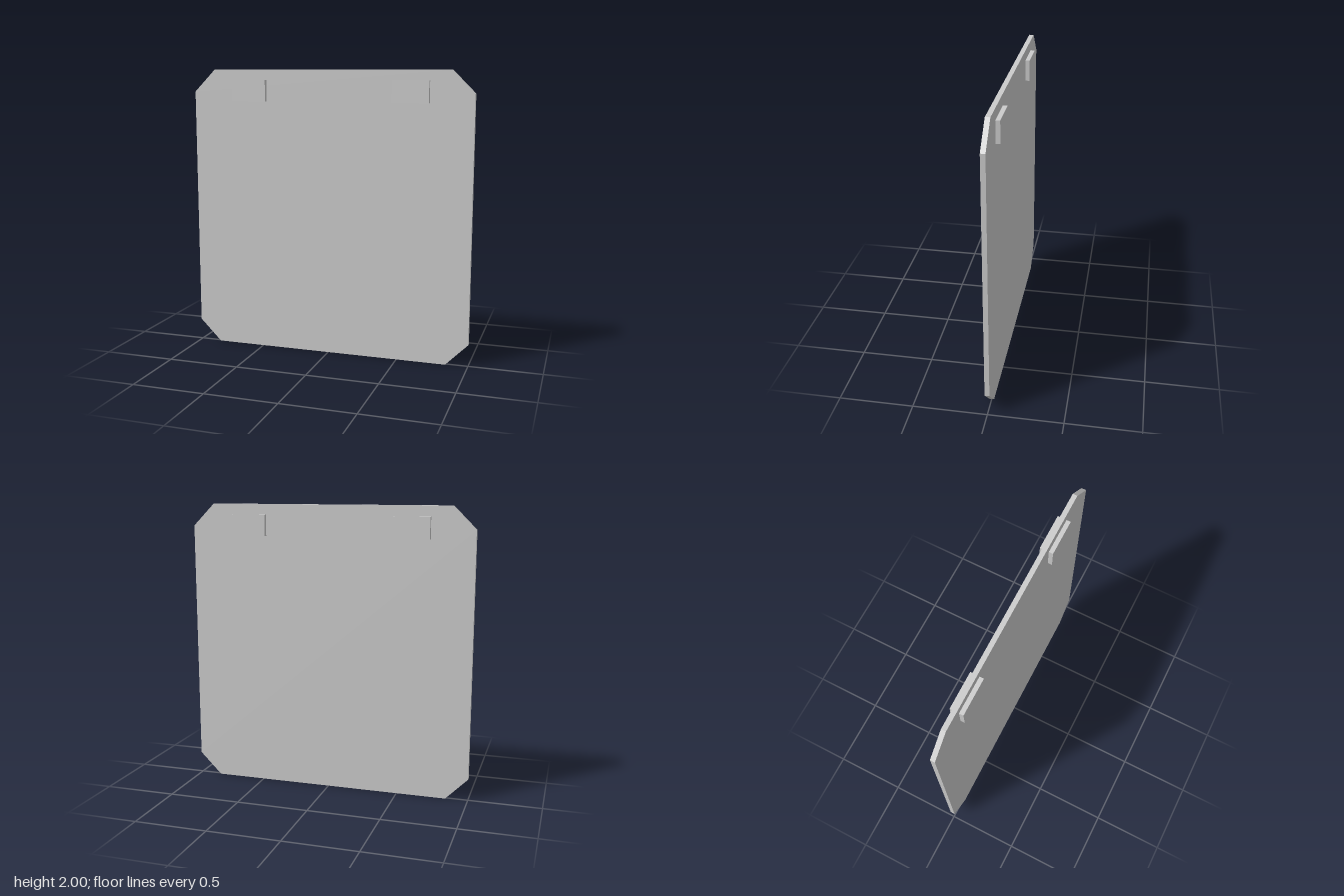
import * as THREE from 'three';

export function createModel() {
  const group = new THREE.Group();
  const material = new THREE.MeshStandardMaterial({ color: 0xcccccc, flatShading: true });

  // Flat square panel with clipped corners
  const c = 0.845, depth = 0.032;
  const outline = [[-c, -1], [c, -1], [1, -c], [1, c], [c, 1], [-c, 1], [-1, c], [-1, -c]];
  const shape = new THREE.Shape(outline.map(([x, y]) => new THREE.Vector2(x, y + 1)));
  const panelGeometry = new THREE.ExtrudeGeometry(shape, { depth, bevelEnabled: false });
  panelGeometry.translate(0, 0, -depth / 2);
  const panel = new THREE.Mesh(panelGeometry, material);
  panel.name = 'panel';
  group.add(panel);

  // Mounting blocks that pass through the panel near its top corners
  const blockGeometry = new THREE.BoxGeometry(0.25, 0.146, 0.09);
  for (const side of [-1, 1]) {
    const block = new THREE.Mesh(blockGeometry, material);
    block.name = side > 0 ? 'leftMountingBlock' : 'rightMountingBlock';
    block.position.set(side * 0.577, 1.854, 0);
    group.add(block);
  }
  return group;
}
